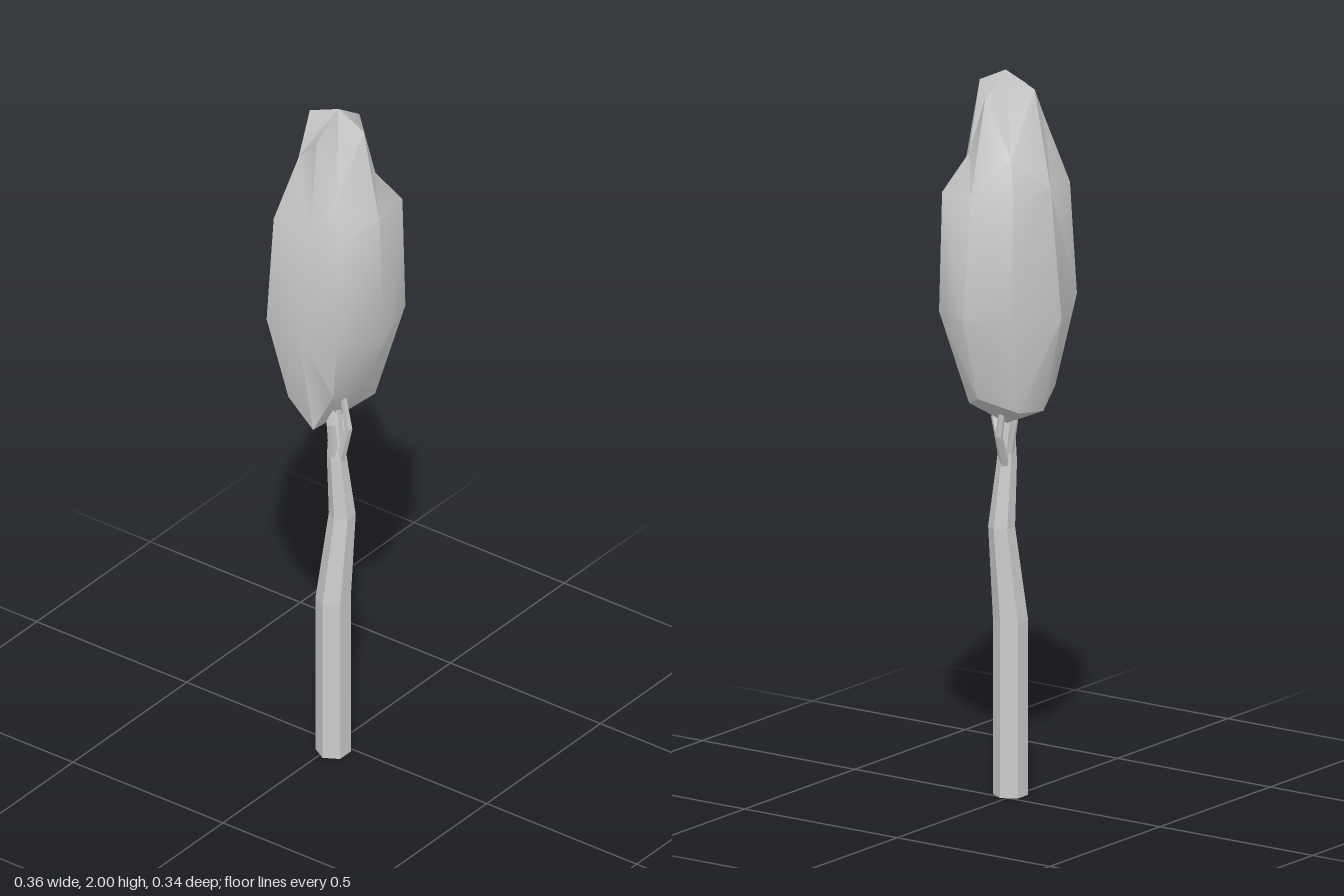
import * as THREE from 'three';
import { toCreasedNormals } from 'three/addons/utils/BufferGeometryUtils.js';

// Skin closed rings of [x, y, z] points, bottom to top, each running +x, -z, -x, +z.
function loft(rings) {
  const n = rings[0].length;
  const pos = [];
  const tri = (a, b, c) => pos.push(...a, ...b, ...c);
  const dist = (a, b) => Math.hypot(a[0] - b[0], a[1] - b[1], a[2] - b[2]);
  for (let k = 0; k + 1 < rings.length; k++) {
    for (let i = 0; i < n; i++) {
      const j = (i + 1) % n;
      const a = rings[k][i], b = rings[k][j], c = rings[k + 1][j], d = rings[k + 1][i];
      // split each quad along its shorter diagonal
      if (dist(a, c) < dist(b, d)) {
        if (dist(a, b) > 0) tri(a, b, c);
        if (dist(c, d) > 0) tri(a, c, d);
      } else {
        if (dist(a, b) > 0) tri(a, b, d);
        if (dist(c, d) > 0) tri(b, c, d);
      }
    }
  }
  const g = new THREE.BufferGeometry();
  g.setAttribute('position', new THREE.Float32BufferAttribute(pos, 3));
  g.computeVertexNormals();
  return g;
}

const point = (p, n) => Array.from({ length: n }, () => p);

// Horizontal polygons along a path of [x, y, z, radius], closed at both ends.
function stem(path, sides) {
  const rings = path.map(([x, y, z, r]) => Array.from({ length: sides }, (_, i) => {
    const t = (i / sides) * Math.PI * 2;
    return [x + r * Math.cos(t), y, z - r * Math.sin(t)];
  }));
  const first = path[0], last = path[path.length - 1];
  return loft([point(first.slice(0, 3), sides), ...rings, point(last.slice(0, 3), sides)]);
}

export function createModel() {
  const group = new THREE.Group();
  const smooth = new THREE.MeshStandardMaterial({ color: 0xcccccc, side: THREE.DoubleSide });
  const faceted = new THREE.MeshStandardMaterial({ color: 0xcccccc, flatShading: true });
  const add = (name, geometry, material) => {
    const mesh = new THREE.Mesh(geometry, material);
    mesh.name = name;
    group.add(mesh);
  };

  // Bent trunk
  add('trunk', stem([
    [-0.035, 0, 0.015, 0.047],
    [-0.035, 0.48, 0.015, 0.047],
    [-0.015, 0.74, 0.03, 0.036],
    [-0.028, 0.92, 0.022, 0.027],
    [-0.022, 1.08, 0.012, 0.014],
  ], 6), faceted);

  // Thin forks reaching into the crown
  const forks = [
    [[-0.02, 0.9, 0.02, 0.014], [0.032, 1.0, 0.005, 0.011], [0.042, 1.12, -0.02, 0.008]],
    [[-0.035, 0.9, 0.02, 0.014], [-0.058, 1.04, 0.025, 0.012], [-0.045, 1.15, 0.01, 0.008]],
    [[-0.03, 0.9, 0.03, 0.014], [-0.035, 1.03, 0.066, 0.011], [-0.045, 1.14, 0.055, 0.008]],
    [[-0.022, 0.93, 0.012, 0.012], [-0.01, 1.03, -0.015, 0.01], [0.0, 1.12, -0.03, 0.007]],
  ];
  forks.forEach((path, i) => add('branch' + (i + 1), stem(path, 5), faceted));

  // Crown: uneven eight-sided rings, notched at the top and the underside
  const crown = [
    point([-0.005, 1.03, 0.005], 8),
    [[0.115, 1.12, 0.015], [0.08, 1.09, -0.095], [-0.01, 1.08, -0.11], [-0.12, 1.12, -0.07],
      [-0.13, 1.055, 0.02], [-0.1, 1.16, 0.065], [-0.01, 1.16, 0.1], [0.07, 1.09, 0.075]],
    [[0.181, 1.35, 0.015], [0.137, 1.36, -0.11], [-0.01, 1.34, -0.17], [-0.163, 1.37, -0.11],
      [-0.183, 1.36, 0.015], [-0.163, 1.37, 0.125], [-0.01, 1.34, 0.167], [0.14, 1.35, 0.123]],
    [[0.145, 1.68, 0.015], [0.122, 1.68, -0.108], [-0.01, 1.69, -0.135], [-0.145, 1.68, -0.1],
      [-0.135, 1.69, 0.015], [-0.145, 1.68, 0.11], [-0.01, 1.7, 0.15], [0.14, 1.68, 0.113]],
    [[0.08, 1.94, 0.015], [0.066, 1.78, -0.06], [-0.01, 1.96, -0.082], [-0.088, 1.86, -0.06],
      [-0.108, 1.94, 0.015], [-0.09, 1.78, 0.07], [-0.01, 1.96, 0.098], [0.075, 1.78, 0.072]],
    point([-0.01, 2, 0.013], 8),
  ];
  add('crown', toCreasedNormals(loft(crown), 0.7), smooth);

  return group;
}
